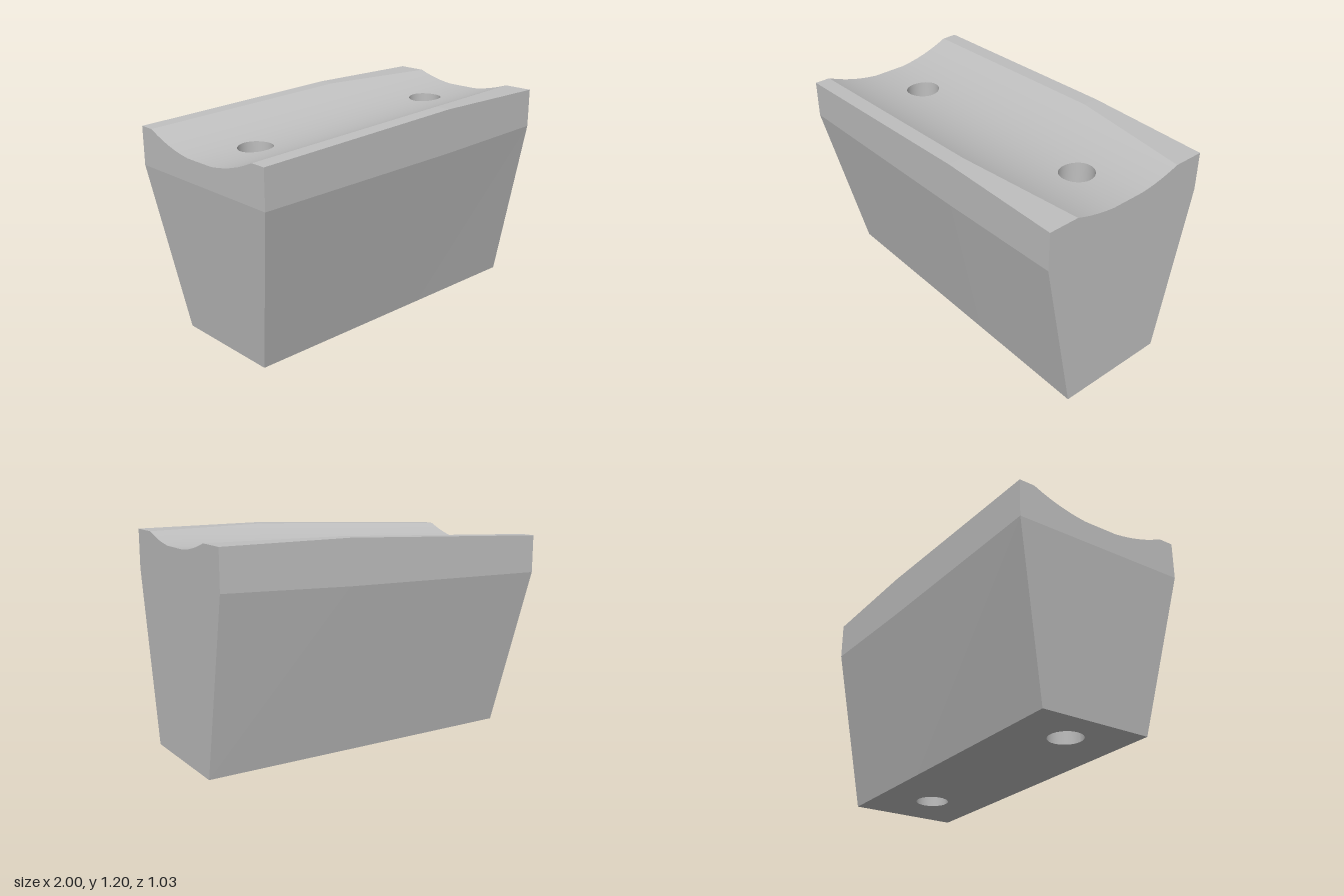
import * as THREE from 'three';

const HALF = 0.515, BASE = 0.325, CORE = 0.1, HOLE_R = 0.095, ROWS = 6;
const HOLES = [-0.65, 0.65];

// Stations along the block: top x, bottom x, rim height, height of the side crease
const STATIONS = [
  { x: -1, foot: -0.89, rim: 1.14, crease: 0.925 },
  { x: 0.27, foot: 0.27, rim: 1.2, crease: 0.952 },
  { x: 1, foot: 1, rim: 1.2, crease: 0.98 },
];

// Sloping cylindrical groove of radius 1
const SLOPE = 0.0475;
const grooveY = (x, z) => 1.0925 + SLOPE * x + 1 - Math.sqrt(1 - z * z);
const grooveNormal = (x, y, z) =>
  new THREE.Vector3(-SLOPE, 1, -z / Math.sqrt(1 - z * z)).normalize();

// Top outline of a station, from front (+z) to back (-z)
function topOutline({ x, rim }) {
  const sag = rim - grooveY(x, 0);
  const w = Math.sqrt(1 - (1 - sag) ** 2);
  const half = [[x, rim, HALF]];
  for (let i = 0; i <= ROWS; i++) {
    const z = THREE.MathUtils.lerp(w, CORE, i / ROWS);
    half.push([x, grooveY(x, z), z]);
  }
  return [...half, ...half.map(([a, b, c]) => [a, b, -c]).reverse()];
}

// Geometry from four-cornered faces, corners counterclockwise from outside
function faces(quads) {
  const pos = quads.flatMap(([a, b, c, d]) => [a, b, c, a, c, d].flat());
  const g = new THREE.BufferGeometry();
  g.setAttribute('position', new THREE.Float32BufferAttribute(pos, 3));
  g.computeVertexNormals();
  return g;
}

function smoothGroove(g) {
  const p = g.attributes.position, n = g.attributes.normal;
  for (let i = 0; i < p.count; i++) {
    const v = grooveNormal(p.getX(i), p.getY(i), p.getZ(i));
    n.setXYZ(i, v.x, v.y, v.z);
  }
  return g;
}

// Rectangle pierced by the two bolt holes
function piercedPlate(x0, x1, halfZ) {
  const s = new THREE.Shape([
    new THREE.Vector2(x0, -halfZ), new THREE.Vector2(x1, -halfZ),
    new THREE.Vector2(x1, halfZ), new THREE.Vector2(x0, halfZ),
  ]);
  for (const x of HOLES) s.holes.push(new THREE.Path().absarc(x, 0, HOLE_R, 0, Math.PI * 2, true));
  return new THREE.ShapeGeometry(s, 16);
}

export function createModel() {
  const group = new THREE.Group();
  group.name = 'saddleBlock';
  const grey = new THREE.MeshStandardMaterial({ color: 0xbfbfbf });
  grey.name = 'grey';
  const add = (name, geometry) => {
    const mesh = new THREE.Mesh(geometry, grey);
    mesh.name = name;
    group.add(mesh);
  };

  const tops = STATIONS.map(topOutline);
  const last = tops[0].length - 1, mid = last / 2 - 0.5;
  const groove = [], rims = [], sides = [], ends = [];

  for (let s = 0; s < 2; s++) {
    const A = STATIONS[s], B = STATIONS[s + 1], a = tops[s], b = tops[s + 1];
    // Rims and groove flanks
    for (let i = 0; i < last; i++) {
      if (i === mid) continue;
      (i === 0 || i === last - 1 ? rims : groove).push([a[i], b[i], b[i + 1], a[i + 1]]);
    }
    // Upright upper and tapered lower side walls, front and back
    for (const k of [1, -1]) {
      const ca = [A.x, A.crease, k * HALF], cb = [B.x, B.crease, k * HALF];
      const fa = [A.foot, 0, k * BASE], fb = [B.foot, 0, k * BASE];
      const ta = [A.x, A.rim, k * HALF], tb = [B.x, B.rim, k * HALF];
      for (const q of [[ca, cb, tb, ta], [fa, fb, cb, ca]]) sides.push(k > 0 ? q : q.reverse());
    }
  }

  // End walls
  for (const s of [0, 2]) {
    const S = STATIONS[s], t = tops[s];
    const low = (p) => [S.x, S.crease, p[2]];
    const quads = [[[S.foot, 0, BASE], [S.foot, 0, -BASE], low(t[last]), low(t[0])]];
    for (let i = 0; i < last; i++) quads.push([low(t[i]), low(t[i + 1]), t[i + 1], t[i]]);
    for (const q of quads) ends.push(s === 2 ? q : q.reverse());
  }

  add('rims', faces(rims));
  add('grooveFlanks', smoothGroove(faces(groove)));
  add('sideWalls', faces(sides));
  add('endWalls', faces(ends));

  // Pierced floor of the groove
  const floor = piercedPlate(-1, 1, CORE).rotateX(-Math.PI / 2);
  const fp = floor.attributes.position;
  for (let i = 0; i < fp.count; i++) fp.setY(i, grooveY(fp.getX(i), fp.getZ(i)));
  add('grooveFloor', smoothGroove(floor));

  // Pierced underside
  add('underside', piercedPlate(-0.89, 1, BASE).rotateX(Math.PI / 2));

  // Bolt hole walls, facing inward
  for (const x of HOLES) {
    const g = new THREE.CylinderGeometry(HOLE_R, HOLE_R, 1, 32, 1, true);
    g.scale(-1, 1, 1).translate(x, 0.5, 0);
    const p = g.attributes.position;
    for (let i = 0; i < p.count; i++) p.setY(i, p.getY(i) * grooveY(p.getX(i), p.getZ(i)));
    g.computeVertexNormals();
    add('boltHole', g);
  }
  return group;
}
